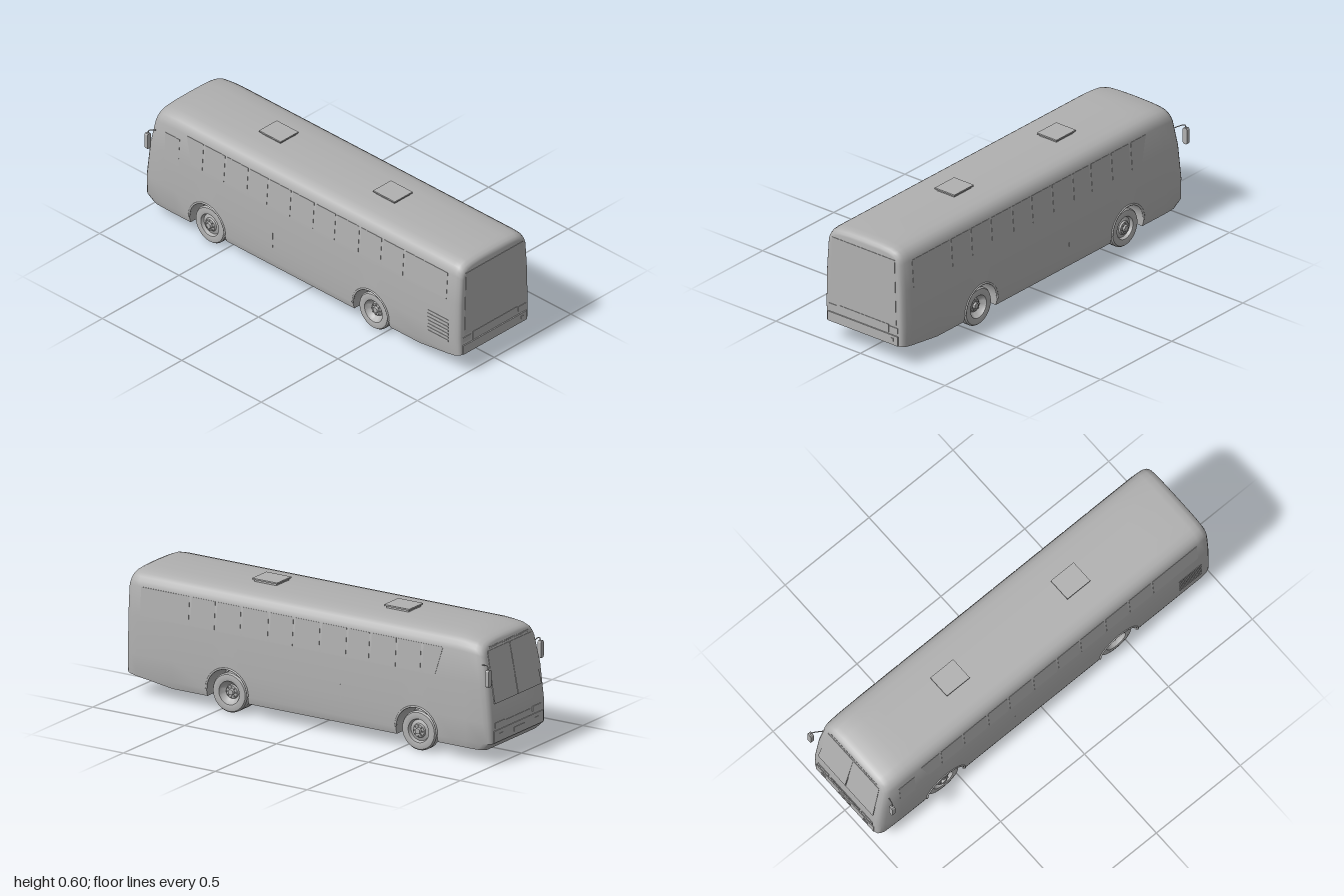
import * as THREE from 'three';
import { toCreasedNormals } from 'three/addons/utils/BufferGeometryUtils.js';

const CX = 0.01, WELL = 0.09, ARCH_R = 0.112, ARCH_Y = 0.103;
const AXLES = { front: -0.59, rear: 0.44 };
// half cross-section: [half width, height] from sill to roof centre
const SECTION = [[0.225, 0.065], [0.234, 0.1], [0.236, 0.2], [0.232, 0.38], [0.222, 0.52], [0.214, 0.543],
  [0.202, 0.56], [0.184, 0.573], [0.155, 0.581], [0.1, 0.586], [0, 0.588]];

const grey = new THREE.MeshStandardMaterial({ color: 0xb0b0b0 });
grey.name = 'body grey';

function halfWidth(y) {
  for (let i = 1; i < SECTION.length; i++) {
    const [x0, y0] = SECTION[i - 1], [x1, y1] = SECTION[i];
    if (y <= y1) return x0 + (x1 - x0) * Math.max(0, (y - y0) / (y1 - y0));
  }
  return 0;
}
const floorY = z => 0.065 + 0.04 * Math.max(0, (z - 0.74) / 0.25);
const frontSlope = y => 0.2 * Math.max(0, y - 0.28) + 1.0 * Math.max(0, 0.1 - y);

function sillY(z) {
  let y = floorY(z);
  for (const a of Object.values(AXLES)) {
    const d = Math.abs(z - a);
    if (d < ARCH_R) y = Math.max(y, ARCH_Y + Math.sqrt(ARCH_R ** 2 - d * d));
  }
  return y;
}

function add(parent, name, geometry, x = 0, y = 0, z = 0) {
  const m = new THREE.Mesh(geometry, grey);
  m.name = name;
  m.position.set(x, y, z);
  parent.add(m);
  return m;
}

// Lofted shell: rings along z, with the wheel wells cut into the sills
function bodyGeometry() {
  // station: z, inset, roof height, share of the front slope
  const stations = [[-0.988, 0.03, 0.556, 1], [-0.983, 0.017, 0.564, 1], [-0.972, 0.008, 0.571, 1],
    [-0.95, 0.002, 0.578, 1], [-0.86, 0, 0.585, 0.4], [-0.79, 0, 0.588, 0], [0.74, 0, 0.588, 0],
    [0.93, 0, 0.588, 0], [0.962, 0.003, 0.586, 0], [0.98, 0.009, 0.579, 0], [0.988, 0.016, 0.57, 0], [0.991, 0.024, 0.561, 0]];
  for (const a of Object.values(AXLES)) {
    for (let i = 0; i <= 20; i++) stations.push([a - Math.cos(i * Math.PI / 20) * ARCH_R * 0.9999, 0, 0.588, 0]);
    for (const s of [-1, 1]) stations.push([a + s * ARCH_R * 1.001, 0, 0.588, 0]);
  }
  stations.sort((a, b) => a[0] - b[0]);
  const rings = stations.map(([z, inset, top, t]) => {
    const f = floorY(z), b = sillY(z), k = 1 - inset / 0.236;
    const half = [[0, f], [WELL, f], [WELL, b]];
    for (const [, y0] of SECTION) {
      const y = Math.max(y0, b);
      half.push([halfWidth(y) * k, y > 0.3 ? 0.3 + (y - 0.3) * (top - 0.3) / 0.288 : y]);
    }
    const right = half.map(([x, y]) => [x, y, z + t * frontSlope(y)]);
    return [...right, ...right.map(([x, y, zz]) => [-x, y, zz]).reverse()];
  });
  const pos = [];
  const quad = (a, b, c, d) => [a, b, c, a, c, d].forEach(p => pos.push(...p));
  const n = rings[0].length, last = rings.length - 1;
  for (let j = 0; j < last; j++)
    for (let i = 0; i < n; i++) {
      const k = (i + 1) % n;
      quad(rings[j][i], rings[j][k], rings[j + 1][k], rings[j + 1][i]);
    }
  // end faces, spanned between mirrored points
  const F = rings[0], R = rings[last];
  for (let i = 0; i < n / 2 - 1; i++) {
    quad(R[i], R[i + 1], R[n - 2 - i], R[n - 1 - i]);
    quad(F[n - 1 - i], F[n - 2 - i], F[i + 1], F[i]);
  }
  const g = new THREE.BufferGeometry();
  g.setAttribute('position', new THREE.Float32BufferAttribute(pos, 3));
  return toCreasedNormals(g, 0.6);
}

// Thin plate drawn in (u, v) and wrapped onto a body face
function plate(parent, name, points, depth, map) {
  const shape = new THREE.Shape(points.map(p => new THREE.Vector2(...p)));
  const g = new THREE.ExtrudeGeometry(shape, { depth: depth + 0.002, bevelEnabled: false });
  const p = g.attributes.position;
  for (let i = 0; i < p.count; i++) p.setXYZ(i, ...map(p.getX(i), p.getY(i), p.getZ(i) - 0.002));
  g.computeVertexNormals();
  return add(parent, name, g);
}
const rect = (u0, u1, v0, v1) => [[u0, v0], [u1, v0], [u1, v1], [u0, v1]];
const onSide = s => (u, v, w) => [s * (halfWidth(v) + w), v, -s * u];
const onRear = (u, v, w) => [u, v, 0.991 + w];
const onFront = (u, v, w) => [-u, v, -0.988 + frontSlope(v) - w];

function wheel(name, x, z, side, dished) {
  const g = new THREE.Group();
  g.name = name;
  const hub = dished ? 0.002 : 0.022;
  const profile = [[0, -0.024], [0.07, -0.025], [0.086, -0.023], [0.093, -0.015], [0.093, 0.015], [0.087, 0.023],
    [0.07, 0.026], [0.056, 0.023], [0.05, 0.008], [0.034, hub - 0.008], [0.03, hub], [0.016, hub], [0.013, hub + 0.01], [0, hub + 0.01]];
  const tyre = new THREE.LatheGeometry(profile.map(p => new THREE.Vector2(...p)), 32);
  add(g, 'tyre and rim', toCreasedNormals(tyre, 0.6));
  for (let i = 0; i < 8; i++) {
    const a = i * Math.PI / 4;
    add(g, 'wheel nut', new THREE.CylinderGeometry(0.003, 0.003, 0.008, 6), Math.cos(a) * 0.024, hub + 0.002, Math.sin(a) * 0.024);
  }
  g.rotation.z = -side * Math.PI / 2;
  g.position.set(x, 0.096, z);
  return g;
}

export function createModel() {
  const model = new THREE.Group();
  model.name = 'coach';
  const bus = new THREE.Group();
  bus.name = 'coachBody';
  bus.position.x = CX;
  model.add(bus);
  add(bus, 'body shell', bodyGeometry());

  // roof hatches
  for (const z of [-0.365, 0.353]) {
    add(bus, 'roof hatch base', new THREE.BoxGeometry(0.1, 0.014, 0.12), 0, 0.592, z);
    add(bus, 'roof hatch lid', new THREE.BoxGeometry(0.116, 0.007, 0.136), 0, 0.6, z);
  }

  // sides: windows, wheels and arch lips
  const posts = [0.92, 0.645, 0.505, 0.365, 0.215, 0.08, -0.065, -0.21, -0.335, -0.48, -0.615];
  for (const s of [1, -1]) {
    const map = onSide(s);
    for (let i = 0; i < posts.length - 1; i++)
      plate(bus, 'side window', rect(-s * (posts[i] - 0.006), -s * (posts[i + 1] + 0.006), 0.384, 0.519), 0.0015, map);
    plate(bus, 'front side window', [[s * 0.622, 0.384], [s * 0.69, 0.384], [s * 0.728, 0.519], [s * 0.622, 0.519]], 0.0015, map);
    plate(bus, 'locker seam', rect(s * 0.175, s * 0.179, 0.17, 0.25), 0.001, map);
    for (const [end, z] of Object.entries(AXLES)) {
      const lip = add(bus, 'wheel arch lip', new THREE.TorusGeometry(ARCH_R, 0.005, 8, 28, Math.PI), s * 0.235, ARCH_Y, z);
      lip.rotation.y = Math.PI / 2;
      bus.add(wheel(end + 'OuterWheel', s * 0.194, z, s, end === 'rear'));
      if (end === 'rear') bus.add(wheel('rearInnerWheel', s * 0.138, z, s, true));
    }
  }
  // engine grille and cab window on one side only
  for (let i = 0; i < 7; i++)
    plate(bus, 'engine grille slat', rect(0.8, 0.93, 0.16 + i * 0.018, 0.169 + i * 0.018), 0.002, onSide(-1));
  plate(bus, 'cab window', rect(-0.86, -0.77, 0.34, 0.48), 0.0015, onSide(-1));

  // rear end
  plate(bus, 'rear window panel', [[-0.195, 0.207], [0.195, 0.207], [0.185, 0.535], [-0.185, 0.535]], 0.002, onRear);
  plate(bus, 'engine cover', rect(-0.14, 0.15, 0.16, 0.2), 0.002, onRear);
  for (const s of [-1, 1]) plate(bus, 'tail lamp', rect(s * 0.155, s * 0.205, 0.17, 0.195), 0.003, onRear);
  plate(bus, 'rear bumper', rect(-0.207, 0.207, 0.107, 0.154), 0.006, onRear);
  plate(bus, 'tow socket', rect(0.167, 0.183, 0.126, 0.141), 0.009, onRear);

  // front end
  for (const s of [-1, 1]) {
    plate(bus, 'windscreen half', [[s * 0.002, 0.285], [s * 0.19, 0.285], [s * 0.178, 0.525], [s * 0.002, 0.525]], 0.002, onFront);
    plate(bus, 'headlamp', rect(s * 0.115, s * 0.19, 0.17, 0.195), 0.003, onFront);
    plate(bus, 'fog lamp', rect(s * 0.13, s * 0.16, 0.125, 0.14), 0.006, onFront);
  }
  for (let i = -9; i <= 9; i++)
    plate(bus, 'roof vent slot', rect(i * 0.017 - 0.005, i * 0.017 + 0.005, 0.533, 0.541), 0.002, onFront);
  plate(bus, 'front grille', rect(-0.1, 0.1, 0.175, 0.19), 0.002, onFront);
  plate(bus, 'front bumper', rect(-0.2, 0.2, 0.102, 0.158), 0.004, onFront);
  plate(bus, 'blank plate', rect(-0.04, 0.04, 0.118, 0.138), 0.007, onFront);

  // door mirrors on thin arms
  for (const [s, z] of [[1, -0.988], [-1, -0.935]]) {
    const outline = new THREE.Shape();
    outline.moveTo(-0.008, -0.04).lineTo(0.008, -0.04).lineTo(0.012, -0.034).lineTo(0.012, 0.034)
      .lineTo(0.008, 0.04).lineTo(-0.008, 0.04).lineTo(-0.012, 0.034).lineTo(-0.012, -0.034);
    const g = new THREE.ExtrudeGeometry(outline, { depth: 0.018, bevelEnabled: false }).translate(0, 0, -0.009);
    add(model, 'door mirror', g, s * 0.253, 0.42, z);
    const arm = new THREE.CatmullRomCurve3([[0.253, 0.455, z], [0.25, 0.474, z + 0.005], [0.215, 0.465, -0.92]]
      .map(([x, y, zz]) => new THREE.Vector3(s * x, y, zz)));
    add(model, 'mirror arm', new THREE.TubeGeometry(arm, 10, 0.0025, 6));
  }
  return model;
}
